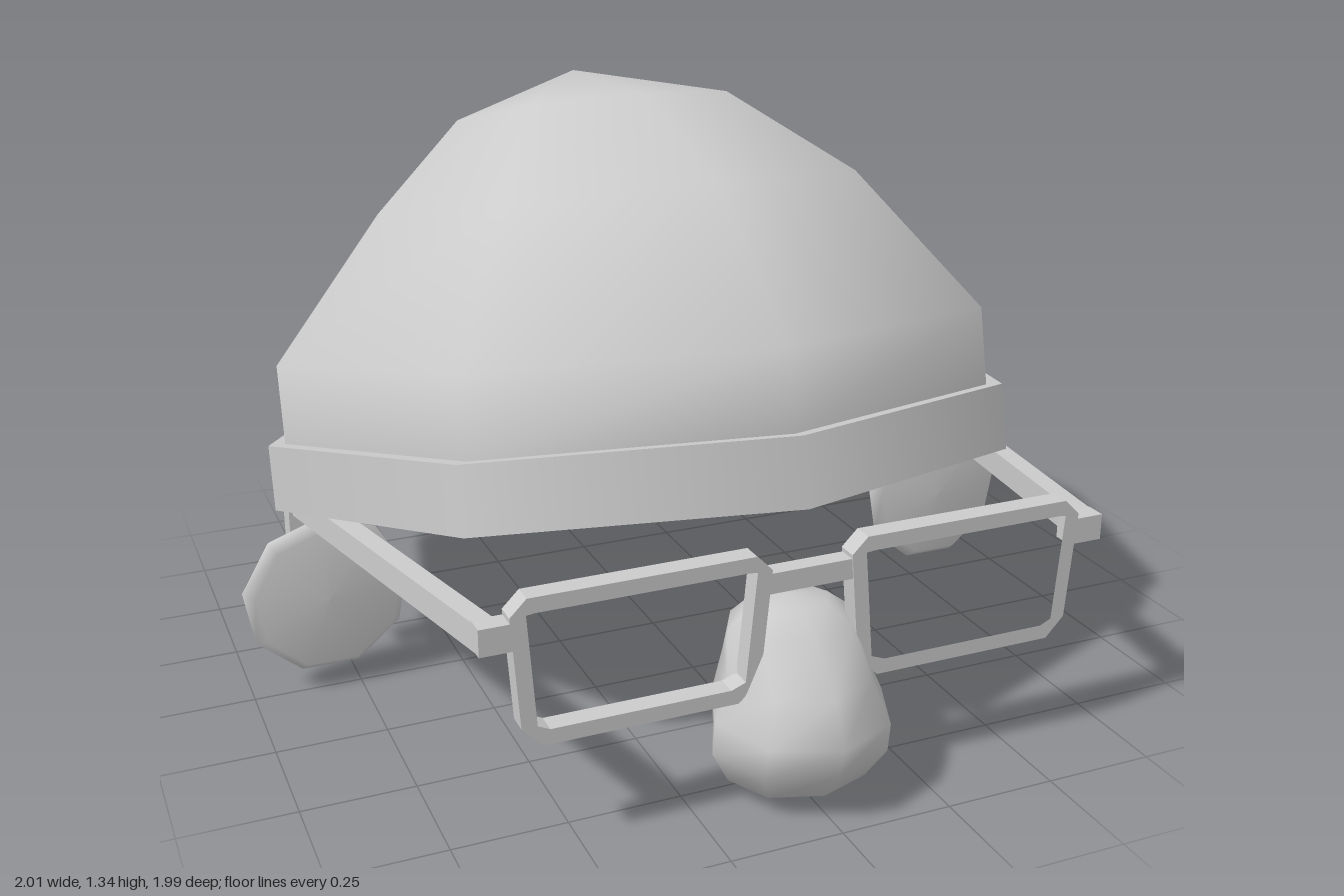
import * as THREE from 'three';

const grey = new THREE.MeshStandardMaterial({ color: 0xcccccc });
const greyThin = new THREE.MeshStandardMaterial({ color: 0xcccccc, side: THREE.DoubleSide });

function part(name, geometry, x = 0, y = 0, z = 0, material = grey) {
  const mesh = new THREE.Mesh(geometry, material);
  mesh.name = name;
  mesh.position.set(x, y, z);
  return mesh;
}

// One point of a ring: half width rx, front and back z, and y at front, side and back
function ringPoint(r, a) {
  const c = Math.cos(a);
  const z = (r.front + r.back) / 2 + (r.front - r.back) / 2 * c;
  const y = r.ySide + ((c > 0 ? r.yFront : r.yBack) - r.ySide) * Math.abs(c);
  return [r.rx * Math.sin(a), y, z];
}

// Smooth skin over rings listed from bottom to top; poles close the ends
function loft(rings, sides, top, bottom) {
  const pos = [], index = [];
  rings.forEach(r => {
    for (let i = 0; i < sides; i++) pos.push(...ringPoint(r, i / sides * Math.PI * 2));
  });
  for (let k = 0; k < rings.length - 1; k++) {
    for (let i = 0; i < sides; i++) {
      const a = k * sides + i, b = k * sides + (i + 1) % sides;
      index.push(a, b, b + sides, a, b + sides, a + sides);
    }
  }
  const last = (rings.length - 1) * sides;
  const addPole = (p, start, up) => {
    const n = pos.length / 3;
    pos.push(...p);
    for (let i = 0; i < sides; i++) {
      const a = start + i, b = start + (i + 1) % sides;
      if (up) index.push(a, b, n); else index.push(b, a, n);
    }
  };
  if (top) addPole(top, last, true);
  if (bottom) addPole(bottom, 0, false);
  const g = new THREE.BufferGeometry();
  g.setAttribute('position', new THREE.Float32BufferAttribute(pos, 3));
  g.setIndex(index);
  g.computeVertexNormals();
  return g;
}

const ring = (rx, front, yFront, back, yBack) =>
  ({ rx, front, yFront, back, yBack, ySide: (yFront + yBack) / 2 });

function makeHat() {
  const hat = new THREE.Group();
  hat.name = 'hat';
  // Slouching eight-sided crown with its peak toward the back
  const rings = [
    ring(0.87, 0.745, 0.775, -0.95, 0.385),
    ring(0.87, 0.705, 0.95, -0.99, 0.57),
    ring(0.6, 0.365, 1.215, -0.8, 0.93),
    ring(0.36, -0.06, 1.34, -0.66, 1.16),
  ];
  hat.add(part('crown', loft(rings, 8, [0, 1.325, -0.53])));

  // Tilted folded cuff, closed underneath
  const cuff = part('cuff', new THREE.CylinderGeometry(0.908, 0.908, 0.15, 8), 0, 0.51, -0.09);
  cuff.rotation.x = -0.227;
  hat.add(cuff);

  // Flat patch on one back panel, just proud of the crown
  const a = Math.PI * 0.75, b = Math.PI;
  const corners = [[0, a], [0, b], [1, b], [1, a]].map(([k, t]) => ringPoint(rings[k], t));
  const patch = new THREE.BufferGeometry();
  patch.setAttribute('position', new THREE.Float32BufferAttribute(corners.flat(), 3));
  patch.setIndex([0, 1, 2, 0, 2, 3]);
  patch.computeVertexNormals();
  hat.add(part('backPatch', patch, 0.001, 0, -0.003, greyThin));
  return hat;
}

function makeNose() {
  const level = (y, back, front, rx) => ring(rx, front, y, back, y);
  const rings = [
    level(0.045, 0.66, 0.92, 0.16),
    level(0.12, 0.62, 0.975, 0.2),
    level(0.19, 0.6, 0.995, 0.195),
    level(0.28, 0.605, 0.95, 0.16),
    level(0.37, 0.635, 0.86, 0.145),
    level(0.41, 0.67, 0.8, 0.09),
  ];
  return part('nose', loft(rings, 8, [0, 0.42, 0.73], [0, 0.005, 0.78]));
}

function makeEar(s) {
  // Thin disc, nearly flat in front and bulging behind
  const profile = [[0, -0.09], [0.1, -0.08], [0.165, -0.055], [0.195, -0.02], [0.17, 0.01], [0, 0.016]]
    .map(([r, h]) => new THREE.Vector2(r, h));
  const g = new THREE.LatheGeometry(profile, 9);
  g.rotateX(Math.PI / 2);
  g.rotateZ(-s * 0.35);
  return part(s > 0 ? 'leftEar' : 'rightEar', g, s * 0.815, 0.233, 0);
}

// Rim outline with clipped corners; inset d shrinks it
function rimPath(s, d, PathType) {
  const pts = [
    [0.09 + d, 0.535], [0.125 + d / 2, 0.57 - d], [0.605 - d / 2, 0.57 - d], [0.64 - d, 0.535],
    [0.622 - d, 0.295], [0.58 - d / 2, 0.25 + d], [0.16 + d / 2, 0.25 + d], [0.112 + d, 0.295],
  ];
  return new PathType(pts.map(([x, y]) => new THREE.Vector2(s * x, y)));
}

function makeGlasses() {
  const glasses = new THREE.Group();
  glasses.name = 'glasses';
  glasses.add(part('bridge', new THREE.BoxGeometry(0.22, 0.045, 0.04), 0, 0.503, 0.813));
  for (const s of [1, -1]) {
    const side = s > 0 ? 'left' : 'right';
    const shape = rimPath(s, 0, THREE.Shape);
    shape.holes.push(rimPath(s, 0.033, THREE.Path));
    glasses.add(part(side + 'Rim',
      new THREE.ExtrudeGeometry(shape, { depth: 0.046, bevelEnabled: false }), 0, 0, 0.79));
    glasses.add(part(side + 'Hinge', new THREE.BoxGeometry(0.08, 0.058, 0.046), s * 0.662, 0.494, 0.813));

    // Arm splays outward to the ear
    const from = new THREE.Vector3(s * 0.675, 0.492, 0.82);
    const to = new THREE.Vector3(s * 0.855, 0.435, -0.16);
    const mid = from.clone().add(to).multiplyScalar(0.5);
    const arm = part(side + 'Arm', new THREE.BoxGeometry(0.045, 0.06, from.distanceTo(to)), mid.x, mid.y, mid.z);
    arm.lookAt(to);
    glasses.add(arm);
    glasses.add(part(side + 'ArmTip', new THREE.BoxGeometry(0.05, 0.13, 0.065), s * 0.85, 0.382, -0.128));
  }
  return glasses;
}

export function createModel() {
  const model = new THREE.Group();
  model.name = 'disguise';
  model.add(makeHat(), makeNose(), makeGlasses(), makeEar(1), makeEar(-1));
  return model;
}
